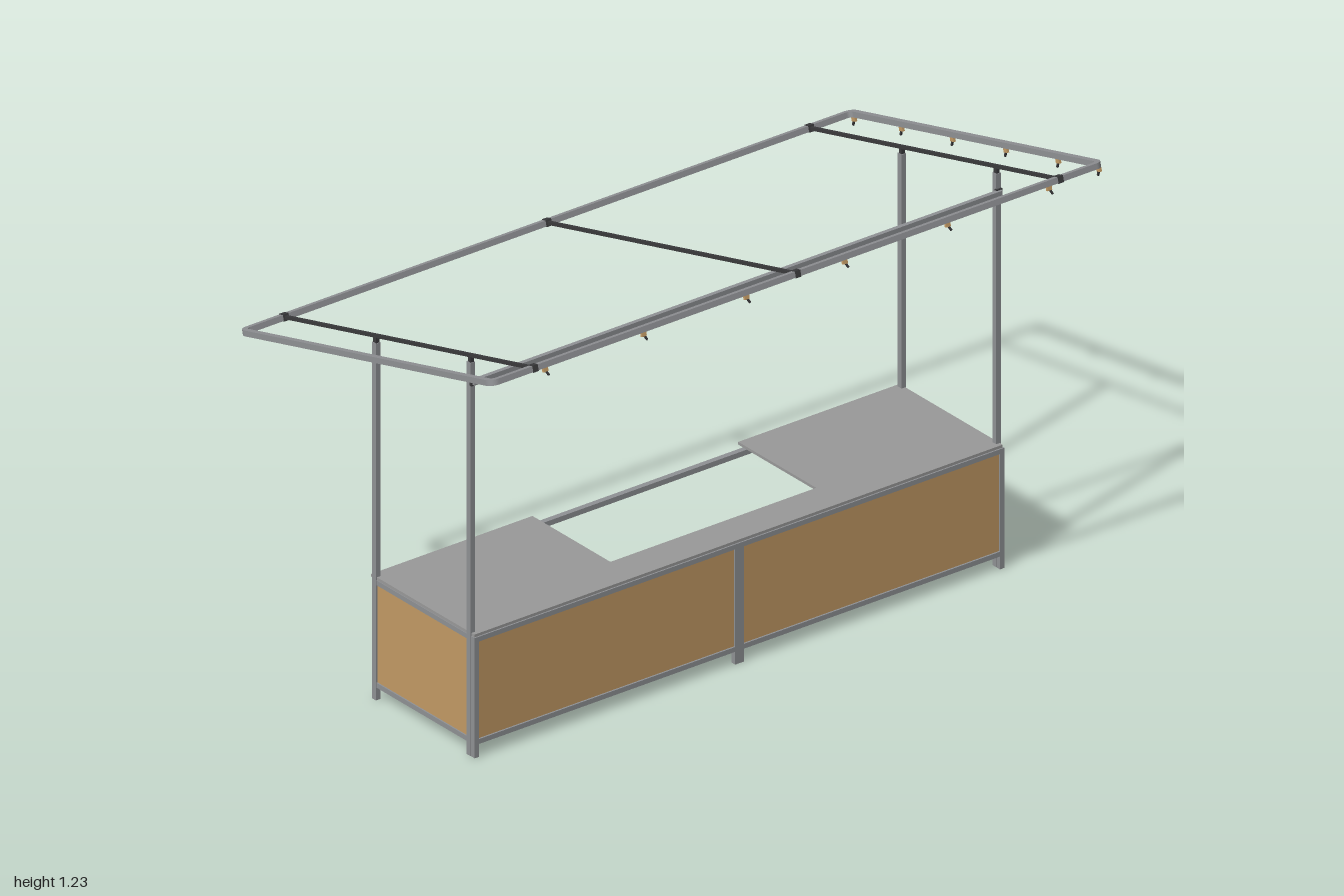
import * as THREE from 'three';

const material = (name, color) => {
  const m = new THREE.MeshStandardMaterial({ color });
  m.name = name;
  return m;
};

export function createModel() {
  const steel = material('steel', 0x8f9194);
  const top = material('counterGrey', 0x999999);
  const tan = material('tanPanel', 0xc29a64);
  const dark = material('darkFitting', 0x3a3a3c);

  const model = new THREE.Group();
  model.name = 'marketStall';

  const add = (parent, name, geometry, mat, x = 0, y = 0, z = 0) => {
    const mesh = new THREE.Mesh(geometry, mat);
    mesh.name = name;
    mesh.position.set(x, y, z);
    parent.add(mesh);
    return mesh;
  };
  // Box given by its lower and upper limits on each axis
  const span = (name, mat, [x0, x1], [y0, y1], [z0, z1]) =>
    add(model, name, new THREE.BoxGeometry(x1 - x0, y1 - y0, z1 - z0), mat,
      (x0 + x1) / 2, (y0 + y1) / 2, (z0 + z1) / 2);

  // U-shaped counter top, open towards the back
  const u = new THREE.Shape();
  [[-0.86, -0.275], [0.86, -0.275], [0.86, 0.155], [0.335, 0.155], [0.335, -0.17],
    [-0.335, -0.17], [-0.335, 0.155], [-0.86, 0.155]]
    .forEach(([x, y], i) => (i ? u.lineTo(x, y) : u.moveTo(x, y)));
  u.closePath();
  const counter = new THREE.ExtrudeGeometry(u, { depth: 0.008, bevelEnabled: false });
  counter.rotateX(-Math.PI / 2);
  add(model, 'counterTop', counter, top, 0, 0.347, 0);

  // Front frame: legs, rails and two panels
  span('frontTopRail', steel, [-0.86, 0.86], [0.333, 0.347], [0.264, 0.279]);
  span('frontBottomRail', steel, [-0.86, 0.86], [0.037, 0.051], [0.264, 0.279]);
  span('innerFrontRail', steel, [-0.85, 0.85], [0.331, 0.346], [0.247, 0.262]);
  span('centreLeg', steel, [-0.014, 0.014], [0, 0.347], [0.264, 0.279]);
  span('backRail', steel, [-0.85, 0.85], [0.331, 0.346], [-0.137, -0.121]);
  span('upperFrontBar', steel, [-0.86, 0.86], [1.074, 1.089], [0.263, 0.275]);

  for (const s of [-1, 1]) {
    const side = (a, b) => (s > 0 ? [a, b] : [-b, -a]);
    span('frontPanel', tan, side(0.014, 0.848), [0.05, 0.335], [0.268, 0.274]);
    span('frontLeg', steel, side(0.848, 0.862), [0, 0.347], [0.264, 0.279]);

    // End frame with its panel
    span('sidePanel', tan, side(0.852, 0.858), [0.05, 0.335], [-0.132, 0.248]);
    span('sideTopRail', steel, side(0.848, 0.862), [0.333, 0.347], [-0.132, 0.248]);
    span('sideBottomRail', steel, side(0.848, 0.862), [0.037, 0.051], [-0.132, 0.248]);

    // Tall roof posts with their fittings
    span('frontPost', steel, side(0.848, 0.863), [0, 1.135], [0.247, 0.263]);
    span('backPost', steel, side(0.848, 0.863), [0, 1.03], [-0.147, -0.131]);
    span('frontPostBracket', dark, side(0.85, 0.861), [1.125, 1.152], [0.249, 0.261]);
    span('backPostBracket', dark, side(0.85, 0.861), [1.02, 1.047], [-0.145, -0.133]);
    span('barBracket', dark, side(0.846, 0.864), [1.07, 1.092], [0.259, 0.268]);
  }

  // Sloping roof, higher at the front
  const roof = new THREE.Group();
  roof.name = 'roofFrame';
  roof.position.set(0, 1.084, -0.004);
  roof.rotation.x = -0.26;
  model.add(roof);

  const rounded = (path, w, h, r) => {
    path.moveTo(-w + r, -h);
    path.lineTo(w - r, -h);
    path.absarc(w - r, -h + r, r, -Math.PI / 2, 0);
    path.lineTo(w, h - r);
    path.absarc(w - r, h - r, r, 0, Math.PI / 2);
    path.lineTo(-w + r, h);
    path.absarc(-w + r, h - r, r, Math.PI / 2, Math.PI);
    path.lineTo(-w, -h + r);
    path.absarc(-w + r, -h + r, r, Math.PI, Math.PI * 1.5);
    return path;
  };
  const halfDepth = 0.545;
  const rim = rounded(new THREE.Shape(), 0.998, halfDepth, 0.025);
  rim.holes.push(rounded(new THREE.Path(), 0.983, halfDepth - 0.015, 0.012));
  const rimGeometry = new THREE.ExtrudeGeometry(rim, { depth: 0.016, bevelEnabled: false, curveSegments: 6 });
  rimGeometry.translate(0, 0, -0.008).rotateX(Math.PI / 2);
  add(roof, 'roofRim', rimGeometry, steel);

  // Thin cross bars with end clamps
  for (const x of [-0.855, 0, 0.855]) {
    add(roof, 'rafter', new THREE.BoxGeometry(0.009, 0.009, 1.07), dark, x);
    for (const z of [-1, 1]) {
      add(roof, 'rafterClamp', new THREE.BoxGeometry(0.017, 0.019, 0.018), dark, x, 0, z * 0.537);
    }
  }

  // Small hanging clips along the front and one end
  const clip = (x, z, turn) => {
    const g = new THREE.Group();
    g.name = 'hangingClip';
    g.position.set(x, -0.008, z);
    g.rotation.y = turn;
    add(g, 'clipBody', new THREE.BoxGeometry(0.015, 0.012, 0.007), tan, 0, -0.006);
    const hook = add(g, 'clipHook', new THREE.BoxGeometry(0.005, 0.02, 0.005), dark, 0.004, -0.015);
    hook.rotation.z = 0.5;
    roof.add(g);
  };
  for (const x of [-0.82, -0.5, -0.165, 0.155, 0.49, 0.82]) clip(x, 0.537, 0);
  for (const z of [0.53, 0.355, 0.13, -0.1, -0.32, -0.525]) clip(0.988, z, Math.PI / 2);

  return model;
}
